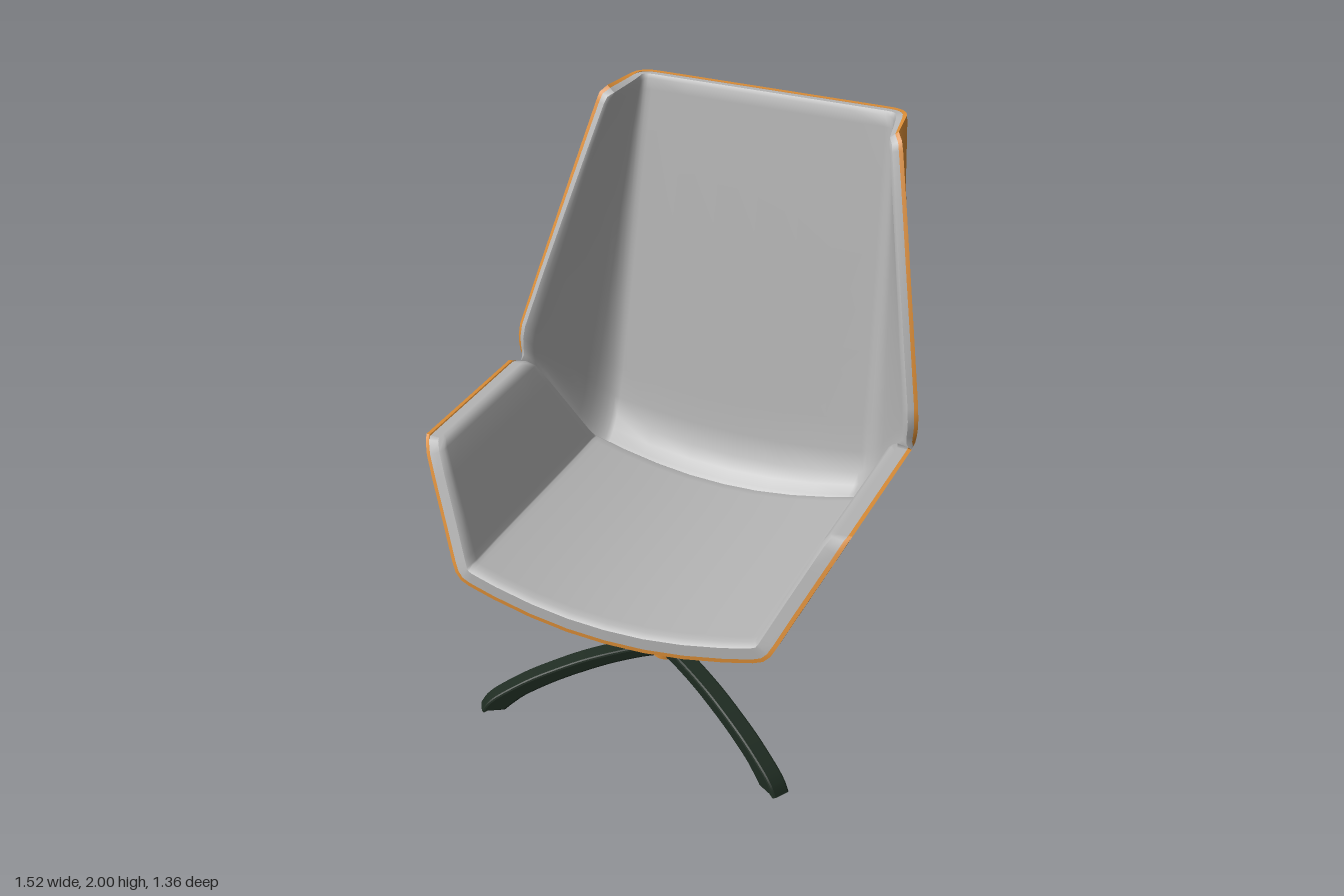
import * as THREE from 'three';
import { mergeGeometries } from 'three/addons/utils/BufferGeometryUtils.js';

const mat = (name, color, side = THREE.FrontSide) => {
  const m = new THREE.MeshStandardMaterial({ color, side });
  m.name = name;
  return m;
};

// Smooth surface through a grid of points; faces along (column x row)
function sheet(rows) {
  const n = rows[0].length, index = [];
  for (let i = 0; i < rows.length - 1; i++)
    for (let j = 0; j < n - 1; j++) {
      const a = i * n + j, d = a + n;
      index.push(a, a + 1, d, a + 1, d + 1, d);
    }
  const g = new THREE.BufferGeometry().setFromPoints(rows.flat());
  g.setIndex(index);
  g.computeVertexNormals();
  return g;
}

// Closed slab between two offsets of a grid, with sharp rims and a thinner border
function slab(rows, from, to, border, maxY) {
  const normals = sheet(rows).attributes.normal, n = rows[0].length, last = rows.length - 1;
  const offset = (t, edge) => rows.map((row, i) => row.map((p, j) => {
    const onEdge = i === 0 || i === last || j === 0 || j === n - 1;
    const q = new THREE.Vector3().fromBufferAttribute(normals, i * n + j);
    q.multiplyScalar(onEdge ? edge : t).add(p);
    q.y = Math.min(q.y, maxY);
    return q;
  }));
  const T = offset(to, border), B = offset(from, from);
  const col = (G, j) => G.map(r => r[j]);
  return mergeGeometries([
    sheet(T), sheet(B.map(r => [...r].reverse())),
    sheet([B[0], T[0]]), sheet([T[last], B[last]]),
    sheet([col(T, 0), col(B, 0)]), sheet([col(B, n - 1), col(T, n - 1)]),
  ]);
}

// Full row from its +x half (first point on the centre line)
const mirrorRow = half => [
  ...half.slice(1).reverse().map(p => new THREE.Vector3(-p.x, p.y, p.z)), ...half];

// Piecewise linear lookup
function lookup(table, y) {
  for (let i = 1; i < table.length; i++) {
    const [y0, z0] = table[i - 1], [y1, z1] = table[i];
    if (y <= y1) return z0 + (z1 - z0) * (y - y0) / (y1 - y0);
  }
  return table[table.length - 1][1];
}

// Seat: U-shaped section swept from front to back, trimmed by the side outline
function seatGrid() {
  const section = [[0, .555], [.14, .56], [.28, .576], [.42, .602], [.515, .625], [.548, .638],
    [.57, .66], [.587, .692], [.64, .805], [.7, .93], [.735, 1.003], [.752, 1.04], [.76, 1.055]];
  const front = [[.555, .68], [.67, .65], [.95, .54], [1.03, .505], [1.055, .47]];
  const back = [[.555, -.3], [.63, -.31], [.95, -.18], [1.03, -.14], [1.055, -.1]];
  return [0, .02, .05, .2, .4, .6, .8, .95, .98, 1].map(t => mirrorRow(section.map(([x, y]) =>
    new THREE.Vector3(x, y, THREE.MathUtils.lerp(lookup(front, y), lookup(back, y), t)))));
}

// Back: rows of [centre y, centre z, bow, corner x, wing tip x, y, z], bottom to top
function backGrid() {
  const rows = [
    [.565, -.32, .08, .56, .745, 1.03, -.185],
    [.575, -.345, .08, .562, .748, 1.042, -.18],
    [.605, -.39, .075, .565, .752, 1.06, -.175],
    [.66, -.435, .065, .565, .755, 1.09, -.172],
    [.75, -.465, .05, .56, .755, 1.125, -.171],
    [.88, -.487, .03, .55, .75, 1.17, -.177],
    [1.15, -.535, .01, .54, .702, 1.37, -.245],
    [1.5, -.595, 0, .525, .653, 1.57, -.315],
    [1.8, -.648, 0, .51, .594, 1.81, -.4],
    [1.94, -.673, 0, .503, .559, 1.95, -.448],
    [1.978, -.68, 0, .501, .55, 1.98, -.458],
    [2, -.684, 0, .5, .53, 2, -.48],
  ];
  return rows.map(([y, z, bow, w, tx, ty, tz]) => {
    const corner = new THREE.Vector3(w, y + bow, z), tip = new THREE.Vector3(tx, ty, tz);
    const panel = s => new THREE.Vector3(w * s, y + bow * s * s, z);
    const wing = s => corner.clone().lerp(tip, s);
    const round = new THREE.QuadraticBezierCurve3(panel(.86), corner, wing(.3));
    return mirrorRow([
      ...[0, .3, .6].map(panel), ...round.getPoints(5),
      ...[.5, .75, .9, .96, 1].map(wing)]);
  });
}

export function createModel() {
  const model = new THREE.Group();
  const wood = mat('orange wood', 0xd98c36, THREE.DoubleSide);
  const fabric = mat('grey upholstery', 0xb4b4b4, THREE.DoubleSide);
  const metal = mat('dark green metal', 0x1e2b21);
  const add = (name, geometry, material, parent = model) => {
    const m = new THREE.Mesh(geometry, material);
    m.name = name;
    parent.add(m);
    return m;
  };

  // Shells and their padding
  const seat = seatGrid(), back = backGrid();
  add('seatShell', slab(seat, 0, .014, .014, 1.055), wood);
  add('seatCushion', slab(seat, .014, .068, .055, 1.052), fabric);
  add('backShell', slab(back, 0, .014, .014, 2), wood);
  add('backCushion', slab(back, .014, .045, .036, 1.998), fabric);

  // Swivel base
  const base = new THREE.Group();
  base.name = 'base';
  base.position.z = .2;
  model.add(base);
  add('post', new THREE.CylinderGeometry(.031, .031, .375, 20), metal, base).position.y = .385;
  add('hub', new THREE.CylinderGeometry(.052, .052, .058, 24), wood, base).position.y = .225;

  // Three arched legs
  const arch = new THREE.Shape();
  arch.moveTo(.035, .247);
  arch.splineThru([[.1, .241], [.2, .224], [.3, .2], [.4, .166], [.5, .125], [.6, .07], [.645, .035], [.668, 0]]
    .map(p => new THREE.Vector2(...p)));
  arch.lineTo(.585, 0);
  arch.splineThru([[.55, .03], [.5, .065], [.4, .112], [.3, .148], [.2, .177], [.1, .196], [.035, .202]]
    .map(p => new THREE.Vector2(...p)));
  const legShape = new THREE.ExtrudeGeometry(arch, {
    depth: .05, steps: 1, curveSegments: 16,
    bevelEnabled: true, bevelThickness: .008, bevelSize: .008, bevelOffset: -.008, bevelSegments: 2,
  });
  legShape.translate(0, 0, -.025);
  for (let k = 0; k < 3; k++)
    add('leg' + (k + 1), legShape, metal, base).rotation.y = Math.PI / 2 + k * Math.PI * 2 / 3;

  return model;
}
